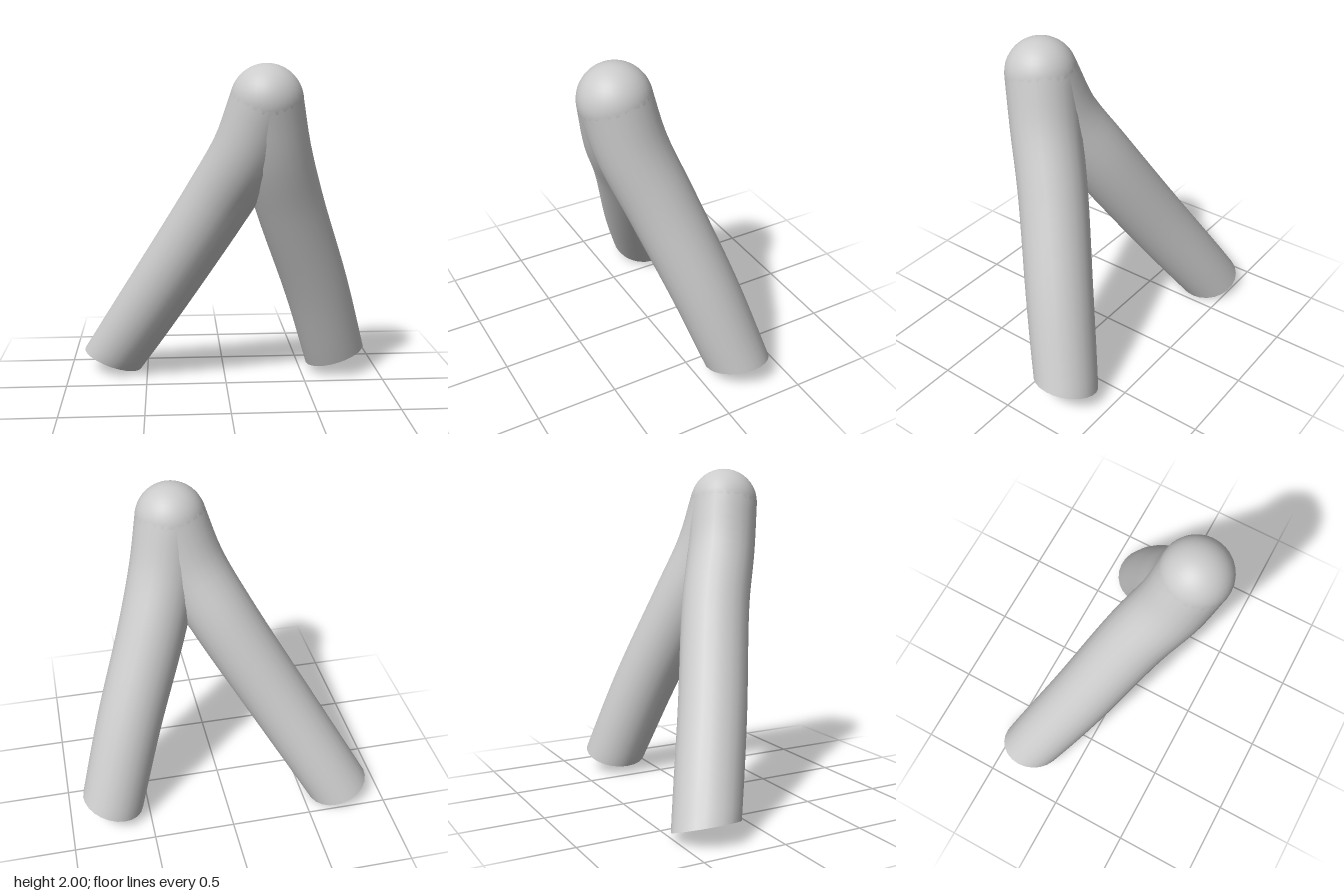
import * as THREE from 'three';
import { mergeVertices } from 'three/addons/utils/BufferGeometryUtils.js';

const SIDES = 24;
const R = 0.21, END_R = 0.196;
const TOP = [0.21, 1.79, 0.315];
const DOWN = new THREE.Vector3(0, -1, 0);

// A bent leg: rings follow the curve and turn gradually into the plane of the foot cut
function makeLeg(name, points, footNormal, material) {
  const curve = new THREE.CatmullRomCurve3(points.map(p => new THREE.Vector3(...p)));
  const foot = new THREE.Vector3(...footNormal).normalize();
  const q = new THREE.Quaternion();
  const v = new THREE.Vector3();

  const tube = new THREE.CylinderGeometry(1, 1, 1, SIDES, 24, true);
  const pos = tube.attributes.position;
  for (let i = 0; i < pos.count; i++) {
    v.fromBufferAttribute(pos, i);
    const t = THREE.MathUtils.clamp(0.5 - v.y, 0, 1);
    const normal = curve.getTangentAt(t).lerp(foot, t ** 4).normalize();
    q.setFromUnitVectors(DOWN, normal);
    v.y = 0;
    v.multiplyScalar(THREE.MathUtils.lerp(R, END_R, t)).applyQuaternion(q).add(curve.getPointAt(t));
    pos.setXYZ(i, v.x, v.y, v.z);
  }
  // Weld the seam so shading is smooth all round
  tube.deleteAttribute('uv');
  tube.deleteAttribute('normal');
  const shaft = mergeVertices(tube);
  shaft.computeVertexNormals();

  // Flat foot closing the lower end
  const cap = new THREE.CircleGeometry(END_R, SIDES).rotateX(Math.PI / 2);
  cap.applyQuaternion(q.setFromUnitVectors(DOWN, foot));
  cap.translate(...points[points.length - 1]);

  const leg = new THREE.Group();
  leg.name = name;
  const shaftMesh = new THREE.Mesh(shaft, material);
  shaftMesh.name = name + 'Shaft';
  const capMesh = new THREE.Mesh(cap, material);
  capMesh.name = name + 'Foot';
  leg.add(shaftMesh, capMesh);
  return leg;
}

export function createModel() {
  const model = new THREE.Group();
  model.name = 'bentLegs';
  const material = new THREE.MeshStandardMaterial({ color: 0xcccccc });

  // Rounded joint at the top
  const joint = new THREE.Mesh(new THREE.SphereGeometry(R, 32, 20), material);
  joint.name = 'topJoint';
  joint.position.set(...TOP);
  model.add(joint);

  // Two legs spreading down and back from the joint
  model.add(makeLeg('leftLeg', [
    TOP, [0.27, 1.5, 0.245], [0.375, 1.16, 0.12], [0.575, 0.6, -0.075], [0.725, 0.11, -0.228],
  ], [0.31, -0.95, 0], material));
  model.add(makeLeg('rightLeg', [
    TOP, [0.11, 1.5, 0.24], [-0.05, 1.2, 0.11], [-0.405, 0.6, -0.115], [-0.725, 0.07, -0.333],
  ], [-0.35, -0.94, 0], material));

  return model;
}
